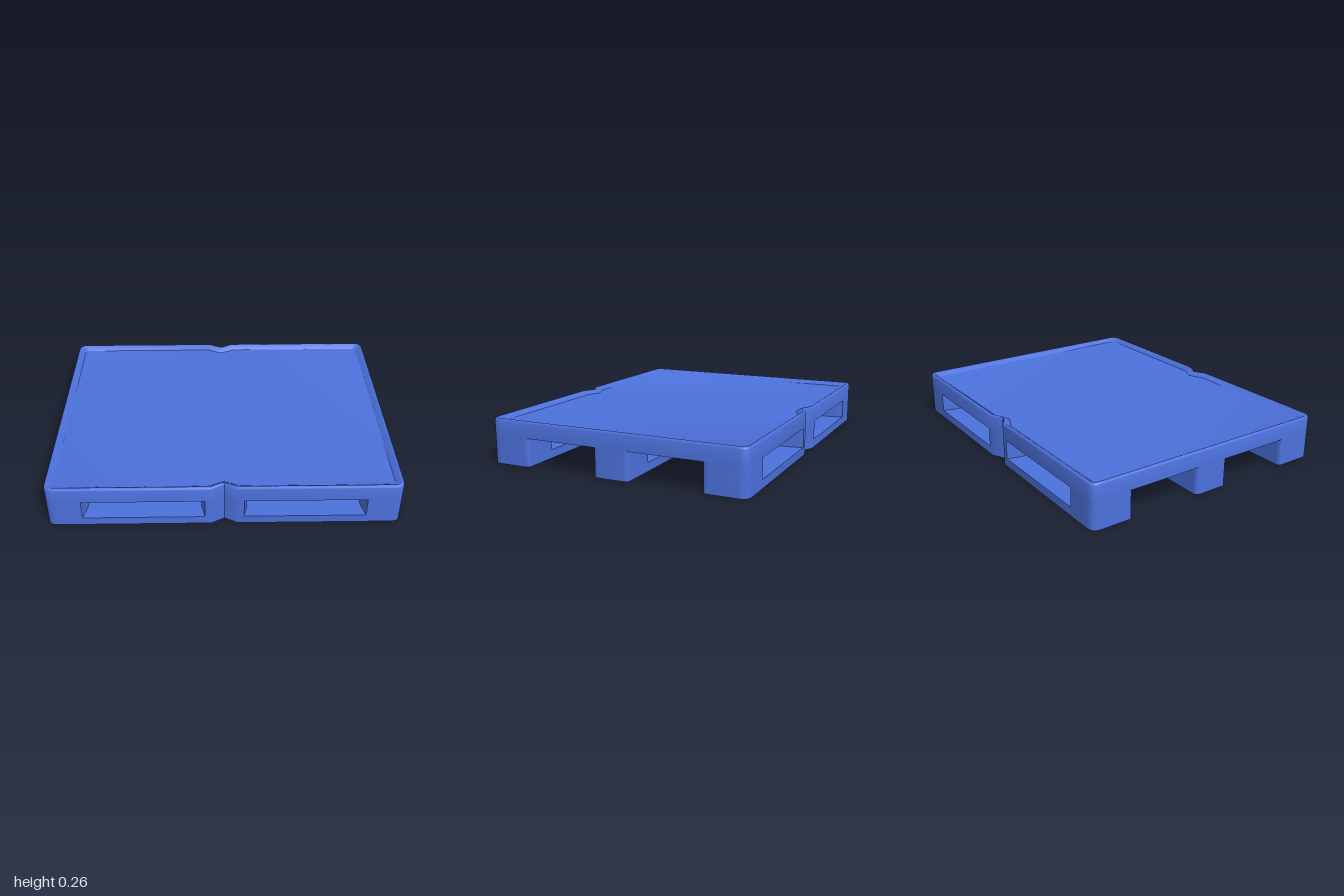
import * as THREE from 'three';
import { toCreasedNormals } from 'three/addons/utils/BufferGeometryUtils.js';

const W = 1, D = 0.775, DECK = 0.165, SLAB = 0.05;

// Turns corners [x, z, radius] into plan points, counter-clockwise seen from above
function plan(corners) {
  const pts = [];
  corners.forEach(([x, z, r = 0], i) => {
    const p = new THREE.Vector2(x, z);
    if (!r) return pts.push(p);
    const toward = (c) => new THREE.Vector2(c[0] - x, c[1] - z).setLength(r).add(p);
    const n = corners.length;
    const curve = new THREE.QuadraticBezierCurve(toward(corners[(i + n - 1) % n]), p, toward(corners[(i + 1) % n]));
    pts.push(...curve.getPoints(6));
  });
  return pts;
}

// Closed solid through stacked plan rings [points, height], capped at both ends
function loft(rings) {
  const n = rings[0][0].length, pos = [], index = [];
  for (const [pts, y] of rings) for (const p of pts) pos.push(p.x, y, p.y);
  for (let k = 0; k < rings.length - 1; k++) {
    for (let i = 0; i < n; i++) {
      const j = (i + 1) % n, a = k * n + i, b = k * n + j;
      index.push(a, b, b + n, a, b + n, a + n);
    }
  }
  const cap = (pts) => THREE.ShapeUtils.triangulateShape(pts.map((p) => new THREE.Vector2(p.x, -p.y)), []);
  const last = (rings.length - 1) * n;
  for (const [a, b, c] of cap(rings[0][0])) index.push(a, c, b);
  for (const [a, b, c] of cap(rings.at(-1)[0])) index.push(last + a, last + b, last + c);
  const g = new THREE.BufferGeometry();
  g.setAttribute('position', new THREE.Float32BufferAttribute(pos, 3));
  g.setIndex(index);
  return toCreasedNormals(g, 0.6);
}

const prism = (pts, y0, y1) => loft([[pts, y0], [pts, y1]]);

// Notch in the middle of a long edge, at the front
const notch = (inset = 0) => {
  const w = 0.075 + inset * 0.35, z = D - inset;
  return [[-w, z], [0, z - 0.04], [w, z]];
};

// Deck outline, moved inward by inset
function outline(inset) {
  const x = W - inset, z = D - inset, r = Math.max(0.055 - inset, 0.025);
  const front = [...notch(inset), [x, z, r]];
  const back = [[x, -z, r], ...notch(inset).map(([a, b]) => [-a, -b]), [-x, -z, r]];
  return plan([...front, ...back, [-x, z, r]]);
}

export function createModel() {
  const blue = new THREE.MeshStandardMaterial({ color: 0x4c71dc });
  blue.name = 'blue plastic';
  const model = new THREE.Group();
  model.name = 'pallet';
  const add = (parent, name, geometry) => {
    const mesh = new THREE.Mesh(geometry, blue);
    mesh.name = name;
    parent.add(mesh);
  };

  // Deck: rounded rim sloping down to a shallow tray
  const profile = [[0, DECK], [0, 0.248], [0.003, 0.256], [0.008, 0.261], [0.013, 0.262],
    [0.018, 0.26], [0.046, 0.238]];
  add(model, 'deck', loft(profile.map(([inset, y]) => [outline(inset), y])));

  // A skid is a ground runner with three blocks; the left end block is mirrored
  function skid(name, runner, middle, end) {
    const group = new THREE.Group();
    group.name = name;
    add(group, 'runner', prism(plan(runner), 0, SLAB));
    add(group, 'middleBlock', prism(plan(middle), SLAB, DECK));
    add(group, 'leftBlock', prism(plan(end), SLAB, DECK));
    const mirrored = end.map(([x, z, r]) => [-x, z, r]).reverse();
    add(group, 'rightBlock', prism(plan(mirrored), SLAB, DECK));
    model.add(group);
    return group;
  }

  // Outer skids: notched outside face and flared openings
  const inner = 0.53, flare = 0.69;
  const outer = (name) => skid(name,
    [[-W, D, 0.055], ...notch(), [W, D, 0.055], [W, inner, 0.025], [-W, inner, 0.025]],
    [[-0.11, D], ...notch(), [0.11, D], [0.13, flare], [0.13, inner], [-0.13, inner], [-0.13, flare]],
    [[0.8, D], [W, D, 0.055], [W, inner, 0.025], [0.78, inner], [0.78, flare]]);
  outer('frontSkid');
  outer('backSkid').rotation.y = Math.PI;

  // Middle skid
  const h = 0.105;
  skid('middleSkid',
    [[-W, h, 0.025], [W, h, 0.025], [W, -h, 0.025], [-W, -h, 0.025]],
    [[-0.13, h], [0.13, h], [0.13, -h], [-0.13, -h]],
    [[0.78, h], [W, h, 0.025], [W, -h, 0.025], [0.78, -h]]);

  return model;
}
